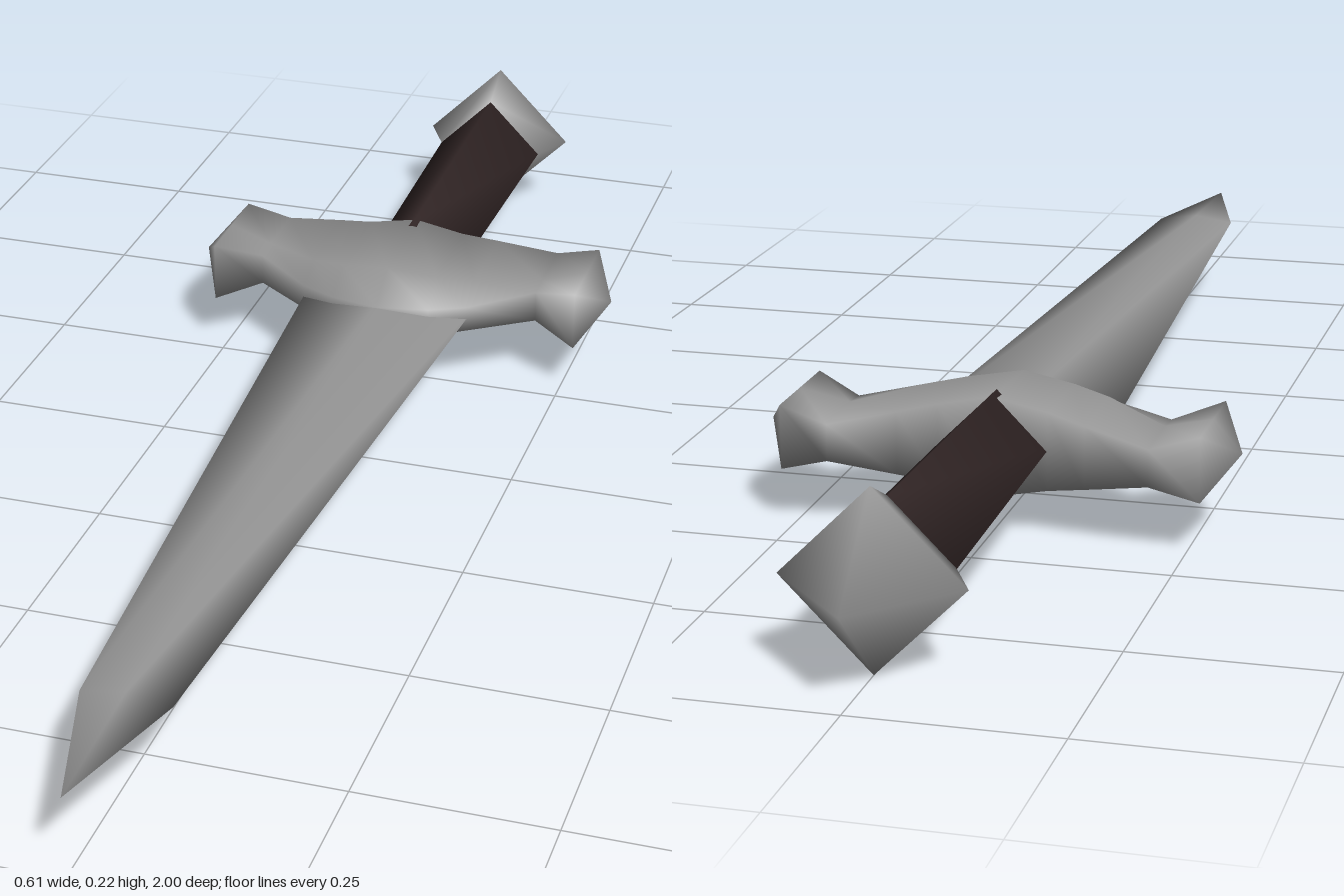
import * as THREE from 'three';
import { mergeVertices } from 'three/addons/utils/BufferGeometryUtils.js';

const MID = 0.11; // height of the dagger's centre line

// Skin a list of equal-length rings, closing both ends; single-point rings repeat one point.
// Ring points run counter-clockwise seen from the last ring's side.
function loft(rings) {
  const pos = [];
  const tri = (a, b, c) => {
    const area = b.clone().sub(a).cross(c.clone().sub(a)).length();
    if (area > 1e-7) for (const p of [a, b, c]) pos.push(p.x, p.y, p.z);
  };
  const n = rings[0].length;
  for (let r = 0; r < rings.length - 1; r++) {
    for (let i = 0; i < n; i++) {
      const j = (i + 1) % n, A = rings[r], B = rings[r + 1];
      tri(A[i], A[j], B[j]);
      tri(A[i], B[j], B[i]);
    }
  }
  const first = rings[0], last = rings[rings.length - 1];
  for (let i = 1; i < n - 1; i++) {
    tri(first[0], first[i + 1], first[i]);
    tri(last[0], last[i], last[i + 1]);
  }
  let geo = new THREE.BufferGeometry();
  geo.setAttribute('position', new THREE.Float32BufferAttribute(pos, 3));
  geo = mergeVertices(geo, 1e-5);
  geo.computeVertexNormals();
  return geo;
}

// Diamond cross-section across the z axis
const diamond = ([z, w, h]) => [[w, 0], [0, h], [-w, 0], [0, -h]]
  .map(([x, y]) => new THREE.Vector3(x, MID + y, z));

// Six-sided guard section across the x axis: [z, half height] for front, shoulder and back
const guardRing = ([x, front, shoulder, back]) => [
  ...[back, shoulder, front].map(([z, h]) => new THREE.Vector3(x, MID - h, z)),
  ...[front, shoulder, back].map(([z, h]) => new THREE.Vector3(x, MID + h, z)),
].reverse();

export function createModel() {
  const steel = new THREE.MeshStandardMaterial({ color: 0x969696 });
  steel.name = 'steel';
  const grip = new THREE.MeshStandardMaterial({ color: 0x302424 });
  grip.name = 'dark leather';

  const group = new THREE.Group();
  group.name = 'dagger';
  const add = (name, geo, mat) => {
    const mesh = new THREE.Mesh(geo, mat);
    mesh.name = name;
    group.add(mesh);
  };

  // Rows are [z, half width, half height]
  add('blade', loft([[-0.3, 0.125, 0.02], [0.8, 0.057, 0.009], [1, 0, 0]].map(diamond)), steel);
  add('handle', loft([[-0.38, 0.069, 0.069], [-0.83, 0.079, 0.079]].reverse().map(diamond)), grip);
  add('pommel', loft([[-1, 0, 0], [-0.885, 0.11, 0.11], [-0.825, 0.079, 0.079]].map(diamond)), steel);

  // Crossguard: half of the sections, mirrored to the other side
  const half = [
    [0, [-0.195, 0.02], [-0.25, 0.056], [-0.4, 0.065]],
    [0.07, [-0.212, 0.018], [-0.262, 0.046], [-0.402, 0.051]],
    [0.12, [-0.235, 0.018], [-0.28, 0.038], [-0.415, 0.041]],
    [0.205, [-0.303, 0.022], [-0.34, 0.025], [-0.435, 0.024]],
    [0.268, [-0.273, 0.042], [-0.35, 0.042], [-0.427, 0.042]],
    [0.305, [-0.35, 0], [-0.35, 0], [-0.35, 0]],
  ];
  const mirrored = half.slice(1).reverse().map(([x, ...s]) => [-x, ...s]);
  add('crossguard', loft([...mirrored, ...half].map(guardRing)), steel);

  return group;
}
